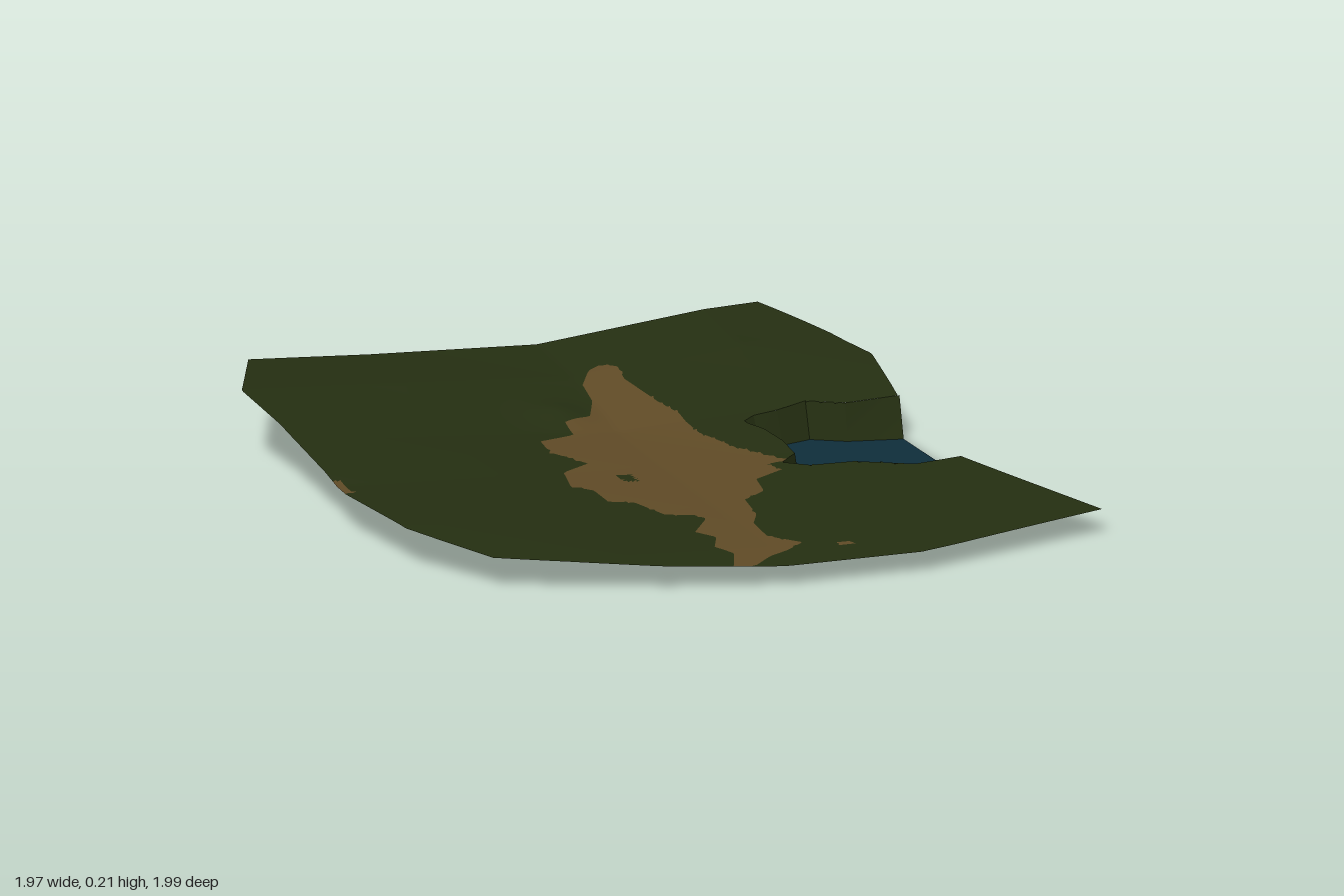
import * as THREE from 'three';

const mat = (name, color) => {
  const m = new THREE.MeshStandardMaterial({ color, side: THREE.DoubleSide });
  m.name = name;
  return m;
};

// Outline of the land as four edges, [x, z]
const back = [[-.85, -1], [-.5, -.98], [0, -.975], [.66, -.98]];
const left = [[-.85, -1], [-.99, -.69], [-.97, -.45], [-.97, -.1], [-.98, .08], [-.94, .43], [-.79, .72]];
const front = [[-.79, .72], [-.36, .9], [-.03, .99], [.38, .995], [.985, .82]];
const right = [[.66, -.98], [.78, -.73], [.84, -.57], [.805, -.28], [.81, .2], [.985, .82]];

// Dirt track and its bare spots
const track = [[.1, -.75], [.14, -.72], [.13, -.64], [.17, -.48], [.2, -.4], [.2, -.25], [.25, -.1],
  [.35, .05], [.28, .07], [.3, .13], [.2, .19], [.18, .3], [.1, .36], [.08, .5], [.04, .58], [.03, .71],
  [.1, .8], [.04, .85], [-.03, .89], [-.1, .96], [-.17, .97], [-.12, .84], [-.15, .77], [-.11, .68],
  [-.15, .62], [-.07, .5], [-.09, .46], [-.17, .44], [-.21, .31], [-.28, .29], [-.28, .18], [-.33, .13],
  [-.3, 0], [-.2, -.07], [-.27, -.18], [-.26, -.28], [-.14, -.33], [-.14, -.4], [-.05, -.44], [0, -.55],
  [.01, -.65], [.06, -.73]];
const tuft = [[-.16, .05], [-.12, .05], [-.12, .11], [-.16, .11]];
const spots = [[[-1, -.04], [-.95, -.04], [-.95, .07], [-1, .07]], [[.19, .83], [.23, .83], [.23, .86], [.19, .86]]];

// Pond bed, open on the right, and its slightly wider rim
const bed = [[.82, .18], [.66, .2], [.52, .12], [.4, .11], [.34, .06], [.4, 0], [.405, -.1], [.39, -.2],
  [.36, -.26], [.4, -.29], [.47, -.3], [.56, -.325], [.65, -.27], [.805, -.235]];
const rim = bed.map(([x, z]) => [Math.min(.81, .6 + (x - .6) * 1.06), -.05 + (z + .05) * (z < -.2 ? 1.1 : 1.06)]);
rim[13][1] = -.28;
const cut = [...rim, [1, -.28], [1, .195]];
const wetShare = [0, .75, .75, .75, 0, .4, .4, .4, .4, 0, 0, 0, 0];

// Coarse table of ground heights, interpolated in both directions
const gx = [-1, -.5, 0, .5, 1], gz = [-1, -.7, -.35, 0, .4, .8, 1];
const heights = [
  [.205, .18, .158, .205, .22], [.21, .175, .135, .18, .16], [.165, .12, .075, .1, .14],
  [.12, .1, .068, .07, .07], [.12, .09, .065, .065, .07], [.095, .08, .064, .064, .07], [.07, .07, .06, .06, .07]];
const cell = (a, v) => {
  let i = 0;
  while (i < a.length - 2 && v > a[i + 1]) i++;
  return [i, THREE.MathUtils.clamp((v - a[i]) / (a[i + 1] - a[i]), 0, 1)];
};
function height(x, z) {
  const [i, s] = cell(gx, x), [j, t] = cell(gz, z);
  const row = r => THREE.MathUtils.lerp(heights[r][i], heights[r][i + 1], s);
  const bank = .018 * Math.exp(-((x + .13) ** 2 + (z + .46) ** 2) / .006);
  return THREE.MathUtils.lerp(row(j), row(j + 1), t) + bank;
}

// Point at fraction t of a polyline's length
function along(line, t) {
  const len = line.slice(1).map((p, i) => Math.hypot(p[0] - line[i][0], p[1] - line[i][1]));
  let d = t * len.reduce((a, b) => a + b), i = 0;
  while (i < len.length - 1 && d > len[i]) d -= len[i++];
  return [0, 1].map(k => line[i][k] + (line[i + 1][k] - line[i][k]) * d / len[i]);
}

function inside(poly, x, z) {
  let hit = false;
  poly.forEach(([ax, az], i) => {
    const [bx, bz] = poly[(i + 1) % poly.length];
    if ((az > z) !== (bz > z) && x < ax + (bx - ax) * (z - az) / (bz - az)) hit = !hit;
  });
  return hit;
}

// Pull a point onto a nearby polygon edge so that borders come out clean
function snap(poly, p, reach) {
  let best = reach, out = null;
  poly.forEach(([ax, az], i) => {
    const [bx, bz] = poly[(i + 1) % poly.length], dx = bx - ax, dz = bz - az;
    const t = THREE.MathUtils.clamp(((p[0] - ax) * dx + (p[1] - az) * dz) / (dx * dx + dz * dz), 0, 1);
    const q = [ax + dx * t, az + dz * t], d = Math.hypot(q[0] - p[0], q[1] - p[1]);
    if (d < best) { best = d; out = q; }
  });
  return out;
}

function surface(pos, index) {
  const g = new THREE.BufferGeometry();
  g.setAttribute('position', new THREE.Float32BufferAttribute(pos, 3));
  g.setIndex(index);
  g.computeVertexNormals();
  return g;
}

// Fine patch blended between the four edges, sorted into grass and dirt
function landGeometry() {
  const N = 144, pos = [], grass = [], dirt = [];
  const sample = line => Array.from({ length: N + 1 }, (_, i) => along(line, i / N));
  const [B, F, L, R] = [back, front, left, right].map(sample);
  for (let j = 0; j <= N; j++) for (let i = 0; i <= N; i++) {
    const u = i / N, v = j / N;
    let p = [0, 1].map(k => (1 - v) * B[i][k] + v * F[i][k] + (1 - u) * L[j][k] + u * R[j][k]
      - ((1 - u) * (1 - v) * B[0][k] + u * (1 - v) * B[N][k] + (1 - u) * v * F[0][k] + u * v * F[N][k]));
    if (i > 0 && i < N && j > 0 && j < N) p = snap(cut, p, .008) || snap(track, p, .006) || p;
    pos.push(p[0], height(p[0], p[1]), p[1]);
  }
  const addTri = tri => {
    const x = tri.reduce((s, i) => s + pos[i * 3], 0) / 3, z = tri.reduce((s, i) => s + pos[i * 3 + 2], 0) / 3;
    if (inside(cut, x, z)) return;
    const bare = (inside(track, x, z) && !inside(tuft, x, z)) || spots.some(s => inside(s, x, z));
    (bare ? dirt : grass).push(...tri);
  };
  for (let j = 0; j < N; j++) for (let i = 0; i < N; i++) {
    const a = j * (N + 1) + i, b = a + 1, c = a + N + 1, d = c + 1;
    addTri([a, c, b]);
    addTri([b, c, d]);
  }
  const g = surface(pos, [...grass, ...dirt]);
  g.addGroup(0, grass.length, 0);
  g.addGroup(grass.length, dirt.length, 1);
  return g;
}

// Strip of pond wall between two height shares, each segment flat
function wallGeometry(range) {
  const pos = [], index = [];
  const at = (i, t) => {
    const y = height(...rim[i]);
    return [THREE.MathUtils.lerp(bed[i][0], rim[i][0], t), y * t, THREE.MathUtils.lerp(bed[i][1], rim[i][1], t)];
  };
  wetShare.forEach((share, i) => {
    const [lo, hi] = range(share), n = pos.length / 3;
    if (hi - lo < .01) return;
    pos.push(...at(i, lo), ...at(i + 1, lo), ...at(i + 1, hi), ...at(i, hi));
    index.push(n, n + 2, n + 1, n, n + 3, n + 2);
  });
  return surface(pos, index);
}

export function createModel() {
  const group = new THREE.Group();
  const grass = mat('grass', 0x242e11), dirt = mat('dirt', 0x5f4a26), water = mat('water', 0x0f2d3a);
  const add = (name, geometry, material) => {
    const m = new THREE.Mesh(geometry, material);
    m.name = name;
    group.add(m);
  };

  add('land', landGeometry(), [grass, dirt]);
  add('pondBank', wallGeometry(s => [s, 1]), grass);
  add('pondLowerWall', wallGeometry(s => [0, s]), water);

  // Flat pond bed
  const shape = new THREE.Shape(bed.map(([x, z]) => new THREE.Vector2(x, -z)));
  add('pondBed', new THREE.ShapeGeometry(shape).rotateX(-Math.PI / 2), water);
  return group;
}
